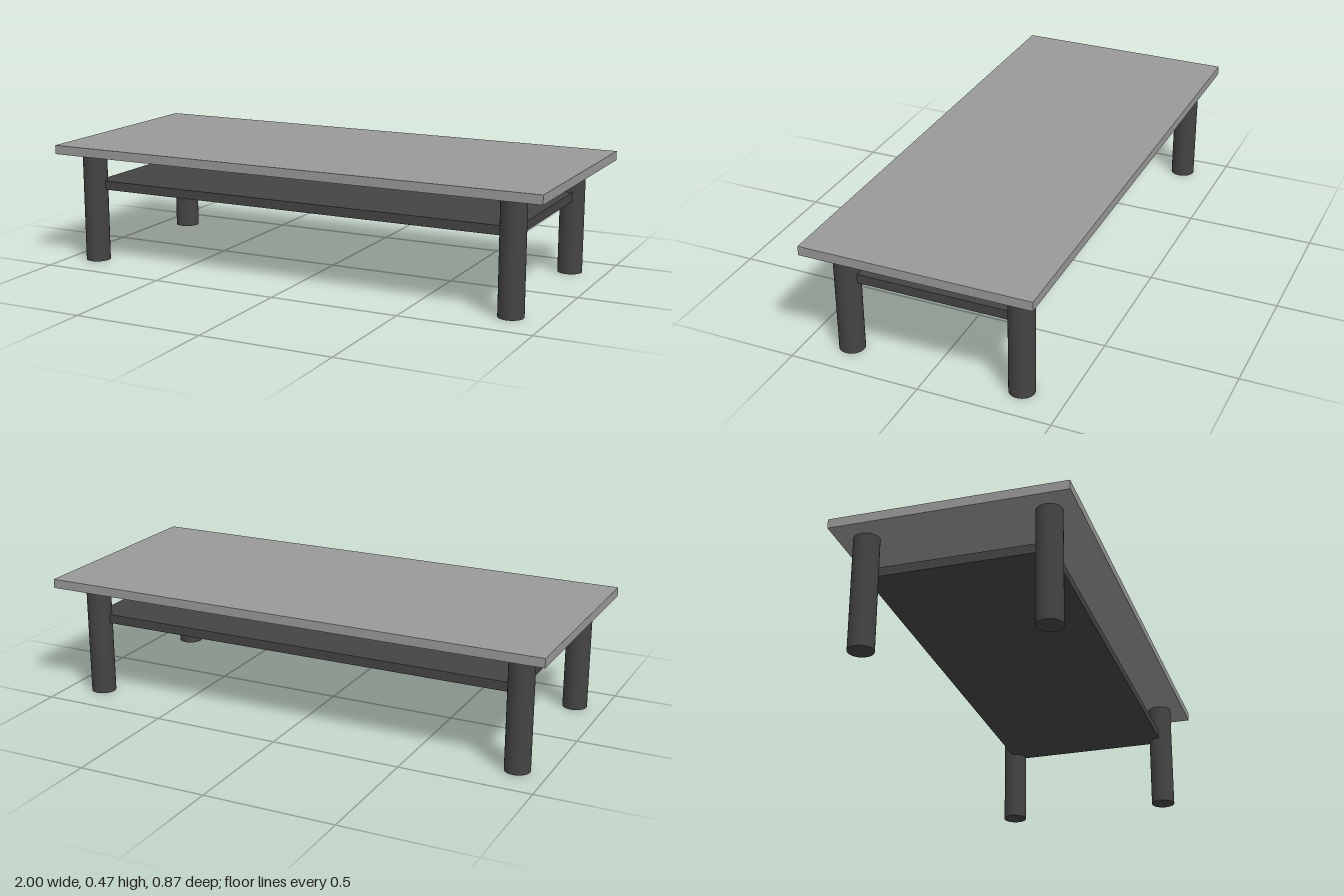
import * as THREE from 'three';

export function createModel() {
  const model = new THREE.Group();
  const light = new THREE.MeshStandardMaterial({ color: 0x999999 });
  const dark = new THREE.MeshStandardMaterial({ color: 0x444444 });

  function add(name, geometry, material, x, y, z) {
    const mesh = new THREE.Mesh(geometry, material);
    mesh.name = name;
    mesh.position.set(x, y, z);
    model.add(mesh);
  }

  const thickness = 0.035;
  const legHeight = 0.435;

  // Table top
  add('tableTop', new THREE.BoxGeometry(2, thickness, 0.87), light, 0, legHeight + thickness / 2, 0);

  // Lower shelf, its corners set into the legs
  add('lowerShelf', new THREE.BoxGeometry(1.75, thickness, 0.67), dark, 0, 0.3055, -0.002);

  // Round legs, set slightly off centre
  const legGeometry = new THREE.CylinderGeometry(0.0477, 0.0477, legHeight, 32);
  for (const [side, x] of [['Right', -0.887], ['Left', 0.862]]) {
    for (const [end, z] of [['front', 0.331], ['back', -0.335]]) {
      add(`${end}${side}Leg`, legGeometry, dark, x, legHeight / 2, z);
    }
  }

  return model;
}
